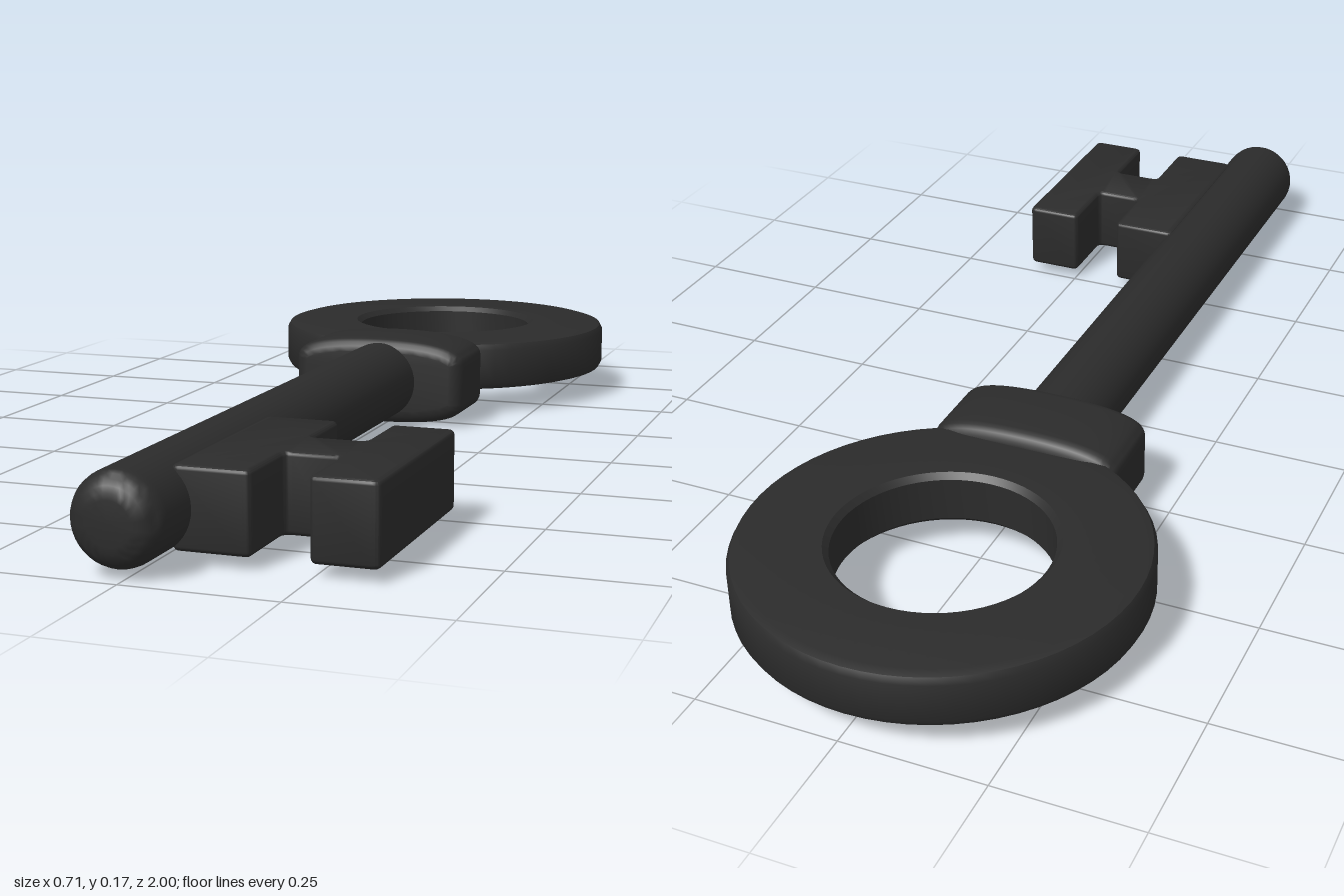
import * as THREE from 'three';
import { toCreasedNormals } from 'three/addons/utils/BufferGeometryUtils.js';

const material = new THREE.MeshStandardMaterial({ color: 0x2b2b2b });
const AXIS_X = -0.012;

function addPart(group, name, geometry, x, y, z) {
  const mesh = new THREE.Mesh(geometry, material);
  mesh.name = name;
  mesh.position.set(x, y, z);
  group.add(mesh);
  return mesh;
}

// Lathe profile from [radius, height] pairs
function lathe(points, segments) {
  const profile = points.map(([r, h]) => new THREE.Vector2(r, h));
  return toCreasedNormals(new THREE.LatheGeometry(profile, segments), 0.6);
}

// Extrusion with rounded edges, centred on its depth; the bevel stays inside the outline depth
function bevelled(shape, depth, bevel, curveSegments = 8) {
  const geometry = new THREE.ExtrudeGeometry(shape, {
    depth: depth - 2 * bevel, bevelEnabled: true, bevelThickness: bevel,
    bevelSize: bevel, bevelOffset: -bevel, bevelSegments: 4, curveSegments,
  });
  geometry.translate(0, 0, bevel - depth / 2);
  return toCreasedNormals(geometry, 0.6);
}

export function createModel() {
  const key = new THREE.Group();
  key.name = 'key';

  // Flat ring handle with softened rims
  const ringProfile = [
    [0.183, -0.039], [0.193, -0.049], [0.325, -0.049], [0.339, -0.045], [0.345, -0.034],
    [0.345, 0.034], [0.339, 0.045], [0.325, 0.049], [0.193, 0.049], [0.183, 0.039], [0.183, -0.039],
  ];
  addPart(key, 'ringHandle', lathe(ringProfile, 64), AXIS_X, 0.098, -0.655);

  // Collar with a gently domed top and bottom
  const collar = new THREE.Shape();
  collar.moveTo(-0.173, -0.04);
  collar.bezierCurveTo(-0.173, -0.075, -0.1, -0.085, 0, -0.085);
  collar.bezierCurveTo(0.1, -0.085, 0.173, -0.075, 0.173, -0.04);
  collar.lineTo(0.173, 0.04);
  collar.bezierCurveTo(0.173, 0.075, 0.1, 0.085, 0, 0.085);
  collar.bezierCurveTo(-0.1, 0.085, -0.173, 0.075, -0.173, 0.04);
  collar.closePath();
  addPart(key, 'collar', bevelled(collar, 0.17, 0.025, 14), -0.016, 0.085, -0.28);

  // Round shaft with a rounded tip
  const shaftProfile = [[0, 0], [0.075, 0], [0.075, 1.21]];
  for (let i = 1; i <= 6; i++) {
    const a = (i / 6) * Math.PI / 2;
    shaftProfile.push([0.035 + 0.04 * Math.cos(a), 1.21 + 0.04 * Math.sin(a)]);
  }
  shaftProfile.push([0, 1.25]);
  const shaft = addPart(key, 'shaft', lathe(shaftProfile, 40), AXIS_X, 0.087, -0.25);
  shaft.rotation.x = Math.PI / 2;

  // H-shaped bit: two bars joined by a narrow bridge
  const bit = new THREE.Shape();
  const outline = [
    [0.03, 0.5], [0.155, 0.5], [0.155, 0.63], [0.245, 0.63], [0.245, 0.5], [0.352, 0.5],
    [0.352, 0.88], [0.245, 0.88], [0.245, 0.742], [0.155, 0.742], [0.155, 0.88], [0.03, 0.88],
  ].map(([x, z]) => new THREE.Vector2(x, z));
  outline.forEach((corner, i) => {
    const before = outline[(i + outline.length - 1) % outline.length];
    const after = outline[(i + 1) % outline.length];
    const start = corner.clone().add(before.clone().sub(corner).setLength(0.012));
    const end = corner.clone().add(after.clone().sub(corner).setLength(0.012));
    if (i === 0) bit.moveTo(start.x, start.y);
    else bit.lineTo(start.x, start.y);
    bit.quadraticCurveTo(corner.x, corner.y, end.x, end.y);
  });
  bit.closePath();
  const bitMesh = addPart(key, 'bit', bevelled(bit, 0.131, 0.008, 4), 0, 0.086, 0);
  bitMesh.rotation.x = Math.PI / 2;

  return key;
}
